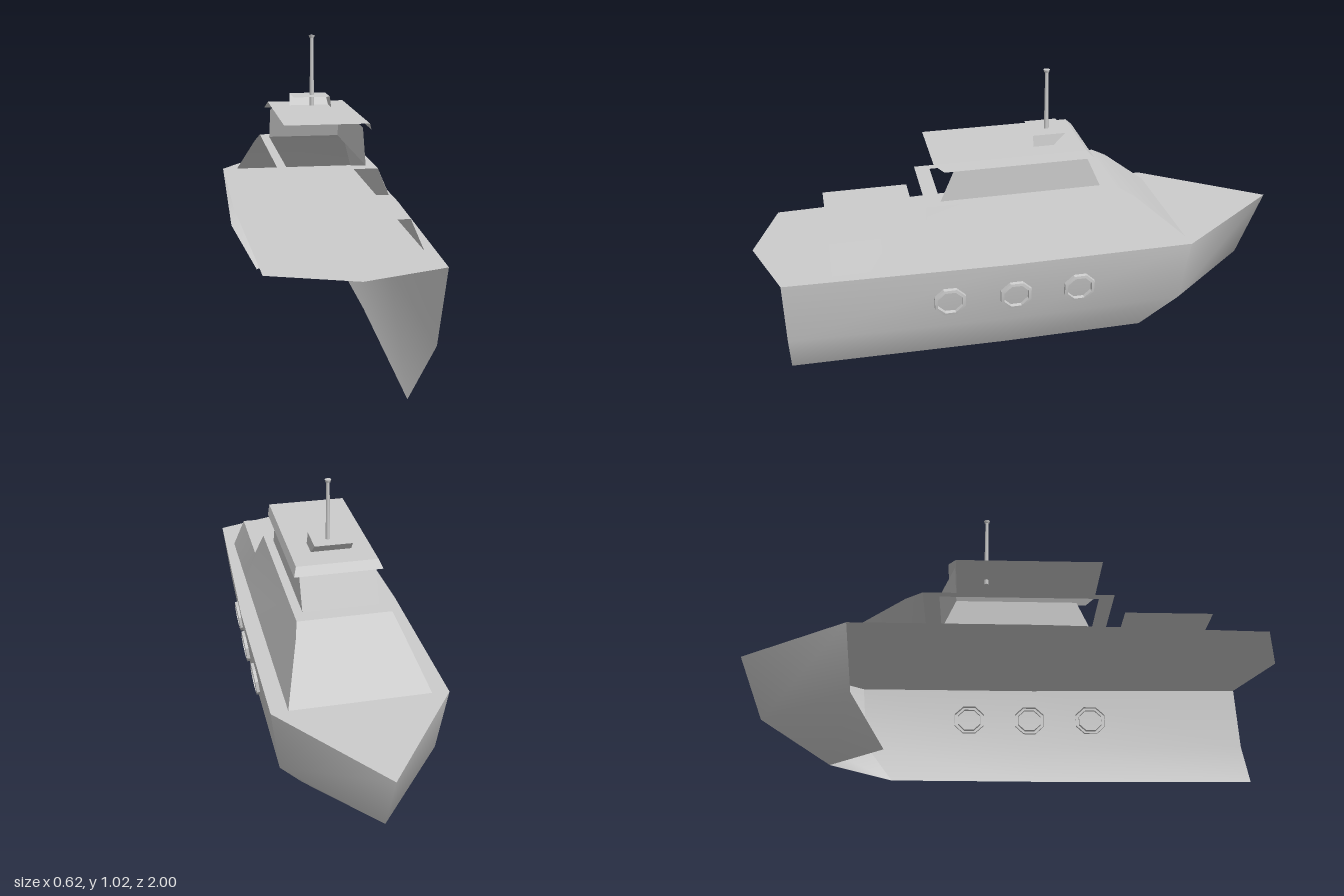
import * as THREE from 'three';
import { toCreasedNormals } from 'three/addons/utils/BufferGeometryUtils.js';

const paint = new THREE.MeshStandardMaterial({ color: 0xcccccc, side: THREE.DoubleSide });
paint.name = 'light grey';

// Skin over a row of stations; each station lists points from bottom to top
function skin(stations, crease = 0.6) {
  const n = stations[0].length, index = [];
  for (let i = 0; i < stations.length - 1; i++) {
    for (let j = 0; j < n - 1; j++) {
      const a = i * n + j, d = a + n;
      index.push(a, d, d + 1, a, d + 1, a + 1);
    }
  }
  const g = new THREE.BufferGeometry();
  g.setAttribute('position', new THREE.Float32BufferAttribute(stations.flat(2), 3));
  g.setIndex(index);
  if (crease === null) {
    g.computeVertexNormals();
    return g;
  }
  return toCreasedNormals(g, crease);
}

// Flat horizontal plate from [x, z] corners, with an optional hole
function plate(corners, y, hole) {
  const toV = ([x, z]) => new THREE.Vector2(x, -z);
  const shape = new THREE.Shape(corners.map(toV));
  if (hole) shape.holes.push(new THREE.Path(hole.map(toV)));
  return new THREE.ShapeGeometry(shape).rotateX(-Math.PI / 2).translate(0, y, 0);
}

const rect = (x, aft, fore) => [[-x, aft], [x, aft], [x, fore], [-x, fore]];

// One side wall and the forward wall of an open shell; b and t are [x, y, aft, fore]
function walls(b, t) {
  const station = (s, k) => [[s * b[0], b[1], b[k]], [s * t[0], t[1], t[k]]];
  return skin([station(1, 2), station(1, 3), station(-1, 3)]);
}

export function createModel() {
  const model = new THREE.Group();
  const add = (name, geometry, parent = model) => {
    const mesh = new THREE.Mesh(geometry, paint);
    mesh.name = name;
    parent.add(mesh);
    return mesh;
  };

  // Hull: one long side, a wrapped bow and a pointed deck
  const bowEdge = s => [[s * 0.18, 0, -0.435], [s * 0.278, 0.168, -0.548], [s * 0.308, 0.415, -0.575]];
  const stem = [[0, 0, -0.64], [0, 0.168, -0.9], [0, 0.415, -1]];
  add('hullSide', skin([
    [[0.16, 0, 0.905], [0.248, 0.168, 0.905], [0.278, 0.415, 0.905]],
    [[0.18, 0, 0.1], [0.278, 0.168, 0.1], [0.308, 0.415, 0.1]],
    bowEdge(1),
  ], null));
  add('bow', skin([bowEdge(1), stem, bowEdge(-1)], null));
  add('deck', plate([
    [0, 1], [0.278, 0.905], [0.308, 0.1], [0.308, -0.575],
    [0, -1], [-0.308, -0.575], [-0.308, 0.1], [-0.278, 0.905],
  ], 0.415));

  // Lower cabin with sloping side, raked front and aft platform
  const nose = [0.248, 0.415, -0.57];
  add('cabinSide', skin([
    [[0.248, 0.415, 0.73], [0.202, 0.52, 0.73]],
    [[0.248, 0.415, 0.41], [0.202, 0.52, 0.41]],
    [[0.248, 0.415, 0.38], [0.17, 0.607, 0.38]],
    [[0.248, 0.415, -0.325], [0.17, 0.607, -0.325]],
    [[0.248, 0.415, -0.45], [0.185, 0.572, -0.385]],
    [nose, nose],
  ]));
  const front = s => [[s * 0.248, 0.415, -0.57], [s * 0.185, 0.572, -0.385], [s * 0.17, 0.607, -0.325]];
  add('cabinFront', skin([front(1), front(-1)]));
  add('aftPlatform', plate(rect(0.202, 0.73, 0.41), 0.52));
  add('cabinTop', plate(rect(0.17, 0.38, -0.325), 0.607, rect(0.138, 0.325, -0.265)));

  // Wheelhouse and its overhanging roof
  add('wheelhouseWalls', walls([0.138, 0.607, 0.325, -0.265], [0.138, 0.73, 0.27, -0.21]));
  add('roofFascia', walls([0.16, 0.73, 0.31, -0.235], [0.148, 0.757, 0.345, -0.208]));
  add('roof', plate(rect(0.148, 0.345, -0.208), 0.757));

  // Mast base with undercut front
  add('mastBaseWalls', walls([0.074, 0.757, -0.03, -0.105], [0.069, 0.798, -0.028, -0.148]));
  add('mastBaseTop', plate(rect(0.069, -0.028, -0.148), 0.798));

  // Mast with a small cap
  add('mast', new THREE.CylinderGeometry(0.006, 0.009, 0.28, 8)).position.set(0.009, 0.877, -0.092);
  add('mastCap', new THREE.CylinderGeometry(0.012, 0.009, 0.01, 8)).position.set(0.009, 1.019, -0.092);

  // Octagonal porthole rims, tilted with the hull side
  const profile = [[0.062, -0.01], [0.06, 0.012], [0.049, 0.014], [0.047, -0.01]]
    .map(p => new THREE.Vector2(...p));
  const rim = toCreasedNormals(new THREE.LatheGeometry(profile, 8, Math.PI / 8), 0.3);
  for (const [z, x] of [[0.325, 0.283], [0.085, 0.291], [-0.152, 0.291]]) {
    const porthole = add('porthole', rim);
    porthole.position.set(x, 0.28, z);
    porthole.rotation.z = -Math.PI / 2 - 0.12;
  }

  return model;
}
